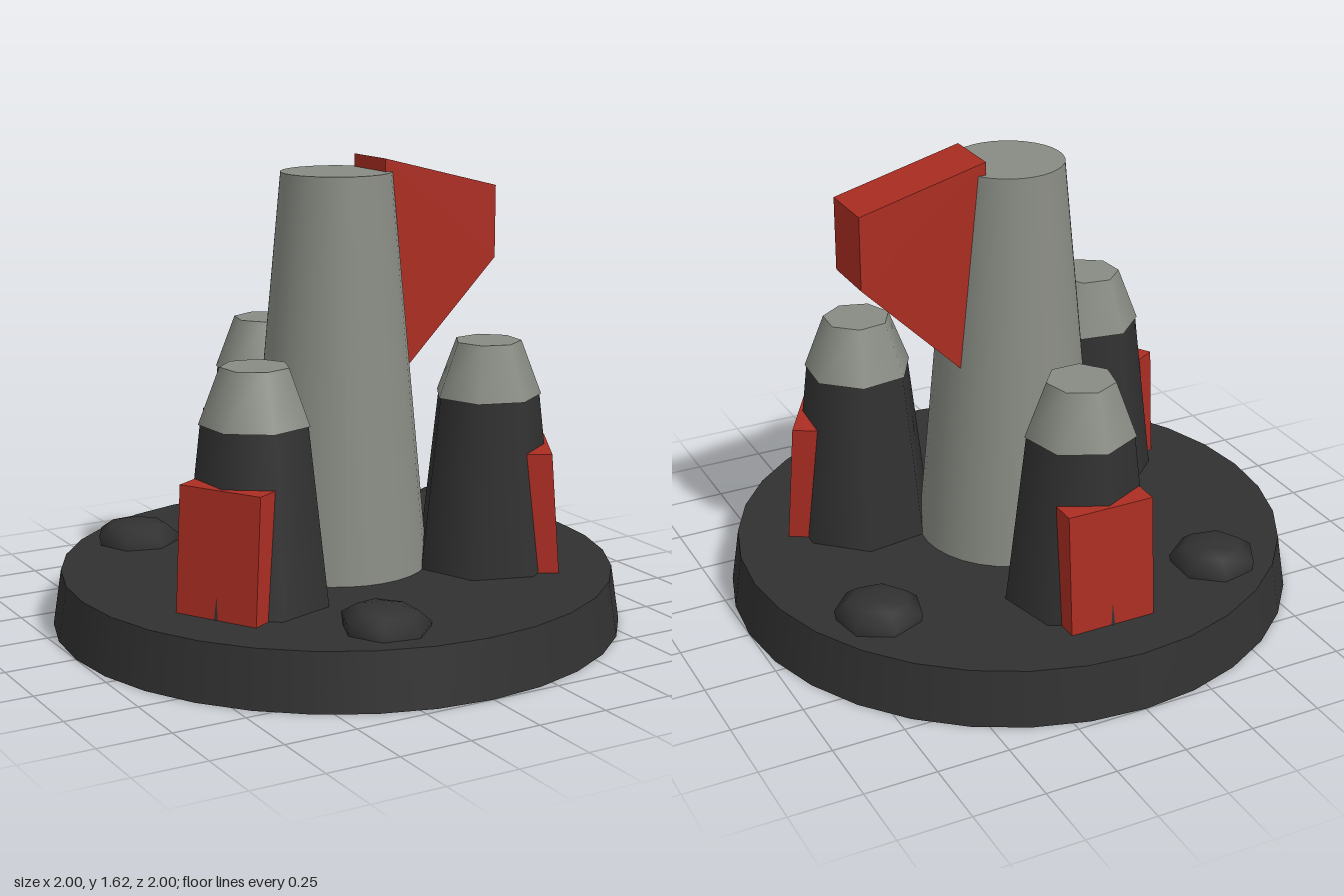
import * as THREE from 'three';

const dark = new THREE.MeshStandardMaterial({ color: 0x313131 });
dark.name = 'charcoal';
const grey = new THREE.MeshStandardMaterial({ color: 0x888b83 });
grey.name = 'warmGrey';
const red = new THREE.MeshStandardMaterial({ color: 0xab2d22 });
red.name = 'signalRed';

function add(parent, name, geometry, material, x = 0, y = 0, z = 0) {
  const mesh = new THREE.Mesh(geometry, material);
  mesh.name = name;
  mesh.position.set(x, y, z);
  parent.add(mesh);
  return mesh;
}

// One outer pillar; its outward side is +z before turning
function pillar(angle) {
  const g = new THREE.Group();
  g.name = 'outerPillar';
  g.rotation.y = angle;
  const d = 0.525;
  add(g, 'pillarBody', new THREE.CylinderGeometry(0.183, 0.255, 0.63, 7), dark, 0, 0.485, d);
  add(g, 'pillarCap', new THREE.CylinderGeometry(0.117, 0.189, 0.19, 7), grey, 0, 0.895, d);

  // Plate leaning inwards along the pillar's outer side
  const plate = new THREE.BoxGeometry(0.31, 0.44, 0.107);
  const p = plate.attributes.position;
  for (let i = 0; i < p.count; i++) p.setZ(i, p.getZ(i) - p.getY(i) * 0.075);
  plate.computeVertexNormals();
  add(g, 'pillarPlate', plate, red, 0, 0.4, 0.705);
  return g;
}

export function createModel() {
  const model = new THREE.Group();
  model.name = 'towerOnDisc';

  // Round base and central tower
  add(model, 'base', new THREE.CylinderGeometry(0.97, 1, 0.195, 32), dark, 0, 0.0975, 0);
  add(model, 'tower', new THREE.CylinderGeometry(0.192, 0.322, 1.39, 32), grey, 0, 0.88, 0);

  // Fin at the top of the tower
  const outline = [[0.133, 1.62], [0.133, 0.8], [0.585, 1.25], [0.585, 1.505]];
  const shape = new THREE.Shape(outline.map(([x, y]) => new THREE.Vector2(x, y)));
  const fin = new THREE.ExtrudeGeometry(shape, { depth: 0.21, bevelEnabled: false });
  add(model, 'towerFin', fin, red, 0, 0, -0.105);

  // Three pillars around the tower
  for (const a of [Math.PI, Math.PI / 3, -Math.PI / 3]) model.add(pillar(a));

  // Low rocks on the base
  const profile = [[0.135, -0.04], [0.152, 0.03], [0.105, 0.066], [0.05, 0.08], [0, 0.083]];
  const rock = new THREE.LatheGeometry(profile.map(([r, y]) => new THREE.Vector2(r, y)), 7);
  for (const [x, z, turn] of [[-0.235, 0.725, 0.3], [-0.51, -0.575, 1.1], [0.67, -0.375, 2.2]]) {
    const m = add(model, 'rock', rock, dark, x, 0.193, z);
    m.rotation.set(0.08, turn, -0.08);
  }
  return model;
}
